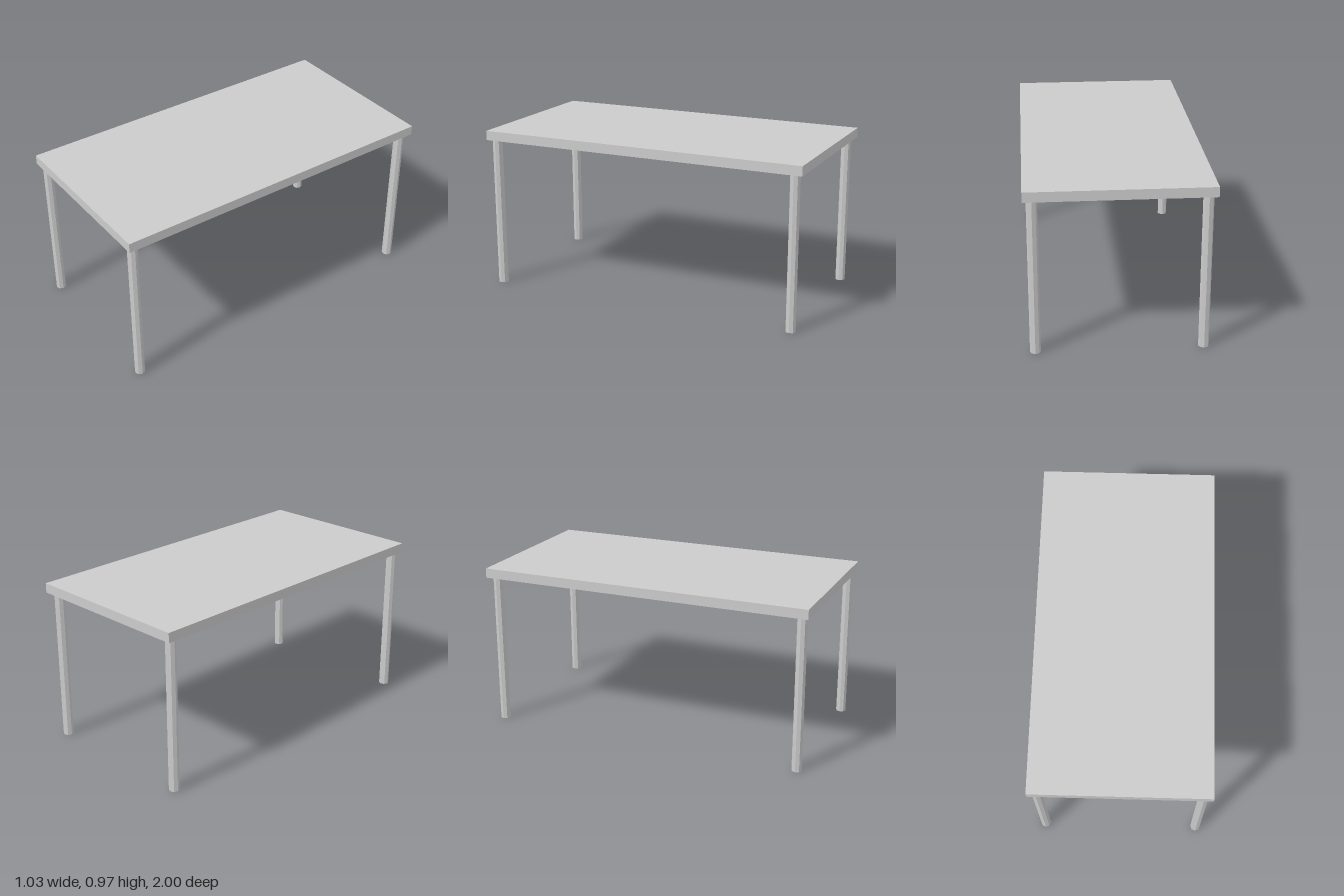
import * as THREE from 'three';

export function createModel() {
  const group = new THREE.Group();
  const material = new THREE.MeshStandardMaterial({ color: 0xcccccc, flatShading: true });
  const height = 0.97, thickness = 0.057;
  const legHeight = height - thickness;

  // Flat slab top
  const top = new THREE.Mesh(new THREE.BoxGeometry(1.034, thickness, 2), material);
  top.name = 'tableTop';
  top.position.y = height - thickness / 2;
  group.add(top);

  // Four octagonal legs, set in slightly from the corners
  const legGeometry = new THREE.CylinderGeometry(0.03, 0.03, legHeight, 8);
  for (const [zName, z] of [['front', 0.955], ['back', -0.945]]) {
    for (const [xName, x] of [['Left', 0.467], ['Right', -0.47]]) {
      const leg = new THREE.Mesh(legGeometry, material);
      leg.name = `${zName}${xName}Leg`;
      leg.position.set(x, legHeight / 2, z);
      group.add(leg);
    }
  }
  return group;
}
